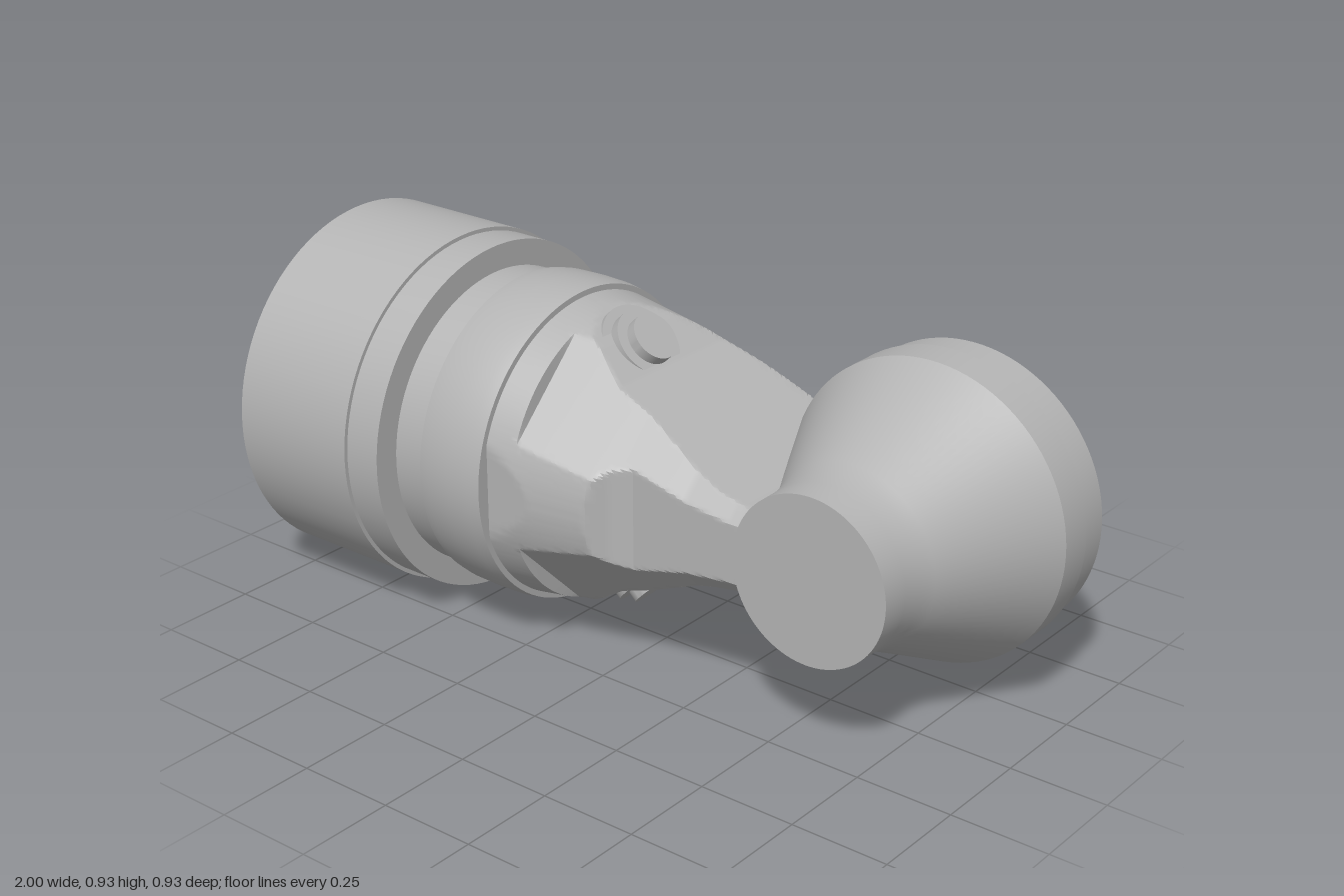
import * as THREE from 'three';
import { toCreasedNormals } from 'three/addons/utils/BufferGeometryUtils.js';

const AXIS_Y = 0.465;

// Piecewise linear lookup through [x, value] pairs
function lerpTable(table, x) {
  if (x <= table[0][0]) return table[0][1];
  for (let i = 1; i < table.length; i++) {
    const [x0, v0] = table[i - 1], [x1, v1] = table[i];
    if (x <= x1) return v0 + (v1 - v0) * (x - x0) / (x1 - x0);
  }
  return table[table.length - 1][1];
}

// Solid of revolution from [position, radius] pairs, with sharp steps
function turned(profile, segments = 96) {
  const pts = profile.map(([t, r]) => new THREE.Vector2(r, t));
  return toCreasedNormals(new THREE.LatheGeometry(pts, segments), 0.35);
}

// Tapered cone trimmed by top/bottom flats, a front flat and two front chamfers
function armGeometry() {
  const cone = [[-0.26, 0.39], [0.3, 0.305], [0.5, 0.285]];
  const flat = [[-0.25, 0.41], [-0.17, 0.373], [-0.09, 0.328], [0, 0.265], [0.1, 0.227],
    [0.27, 0.145], [0.34, 0.122], [0.42, 0.108], [0.5, 0.105]];
  const front = [[0, 0.37], [0.03, 0.343], [0.07, 0.3], [0.12, 0.276], [0.5, 0.274]];
  const chamfer = [[-0.172, 0.6], [-0.17, 0.487], [0.1, 0.41], [0.27, 0.365], [0.4, 0.348], [0.5, 0.345]];

  const xs = [-0.26, -0.22, -0.19, -0.172];
  for (let x = -0.17; x < 0.501; x += 0.01) xs.push(x);
  const n = 288, pos = [], idx = [];
  xs.forEach((x, i) => {
    for (let j = 0; j < n; j++) {
      const a = j / n * Math.PI * 2, s = Math.sin(a), c = Math.cos(a);
      let r = Math.min(lerpTable(cone, x), lerpTable(flat, x) / Math.max(Math.abs(s), 1e-4));
      if (c > 1e-4) r = Math.min(r, lerpTable(front, x) / c);
      const d = Math.abs(s) + c;
      if (d > 1e-4) r = Math.min(r, lerpTable(chamfer, x) / d);
      pos.push(x, r * s, r * c);
      if (i < xs.length - 1) {
        const k = (j + 1) % n, p = i * n, q = p + n;
        idx.push(p + j, q + j, p + k, q + j, q + k, p + k);
      }
    }
  });
  const g = new THREE.BufferGeometry();
  g.setAttribute('position', new THREE.Float32BufferAttribute(pos, 3));
  g.setIndex(idx);
  return toCreasedNormals(g, 0.4);
}

export function createModel() {
  const model = new THREE.Group();
  const gray = new THREE.MeshStandardMaterial({ color: 0xb4b4b4 });
  gray.name = 'gray';

  const add = (name, geometry, parent = model) => {
    const mesh = new THREE.Mesh(geometry, gray);
    mesh.name = name;
    parent.add(mesh);
    return mesh;
  };

  // Stepped housing along x
  const housing = add('housing', turned([
    [-1, 0], [-1, 0.465], [-0.635, 0.465], [-0.635, 0.455], [-0.535, 0.455],
    [-0.535, 0.388], [-0.44, 0.388], [-0.44, 0.403], [-0.41, 0.408], [-0.345, 0.41],
    [-0.28, 0.408], [-0.25, 0.403], [-0.25, 0.38], [-0.25, 0]]));
  housing.geometry.rotateZ(-Math.PI / 2);
  housing.position.y = AXIS_Y;

  // Tapered arm joining housing and joint head
  add('arm', armGeometry()).position.y = AXIS_Y;

  // Flared joint head along z
  const head = add('jointHead', turned([
    [-0.42, 0], [-0.42, 0.31], [-0.365, 0.31], [-0.365, 0.37], [-0.275, 0.37],
    [-0.275, 0.381], [-0.185, 0.381], [0.115, 0.228], [0.16, 0.216], [0.205, 0.209],
    [0.28, 0.208], [0.28, 0]]));
  head.geometry.rotateX(Math.PI / 2);
  head.position.set(0.62, AXIS_Y, 0);

  // Slanted bolts with stacked washers, above and below the arm
  for (const side of [1, -1]) {
    const bolt = new THREE.Group();
    bolt.name = side > 0 ? 'topBolt' : 'bottomBolt';
    add('boltStack', turned([
      [-0.11, 0], [-0.11, 0.115], [-0.055, 0.115], [-0.055, 0.09], [-0.028, 0.09],
      [-0.028, 0.062], [0, 0.062], [0, 0]], 48), bolt);
    bolt.position.set(-0.035, AXIS_Y + side * 0.337, 0);
    bolt.quaternion.setFromUnitVectors(new THREE.Vector3(0, 1, 0),
      new THREE.Vector3(0.72, side * 0.69, 0).normalize());
    model.add(bolt);
  }
  return model;
}
